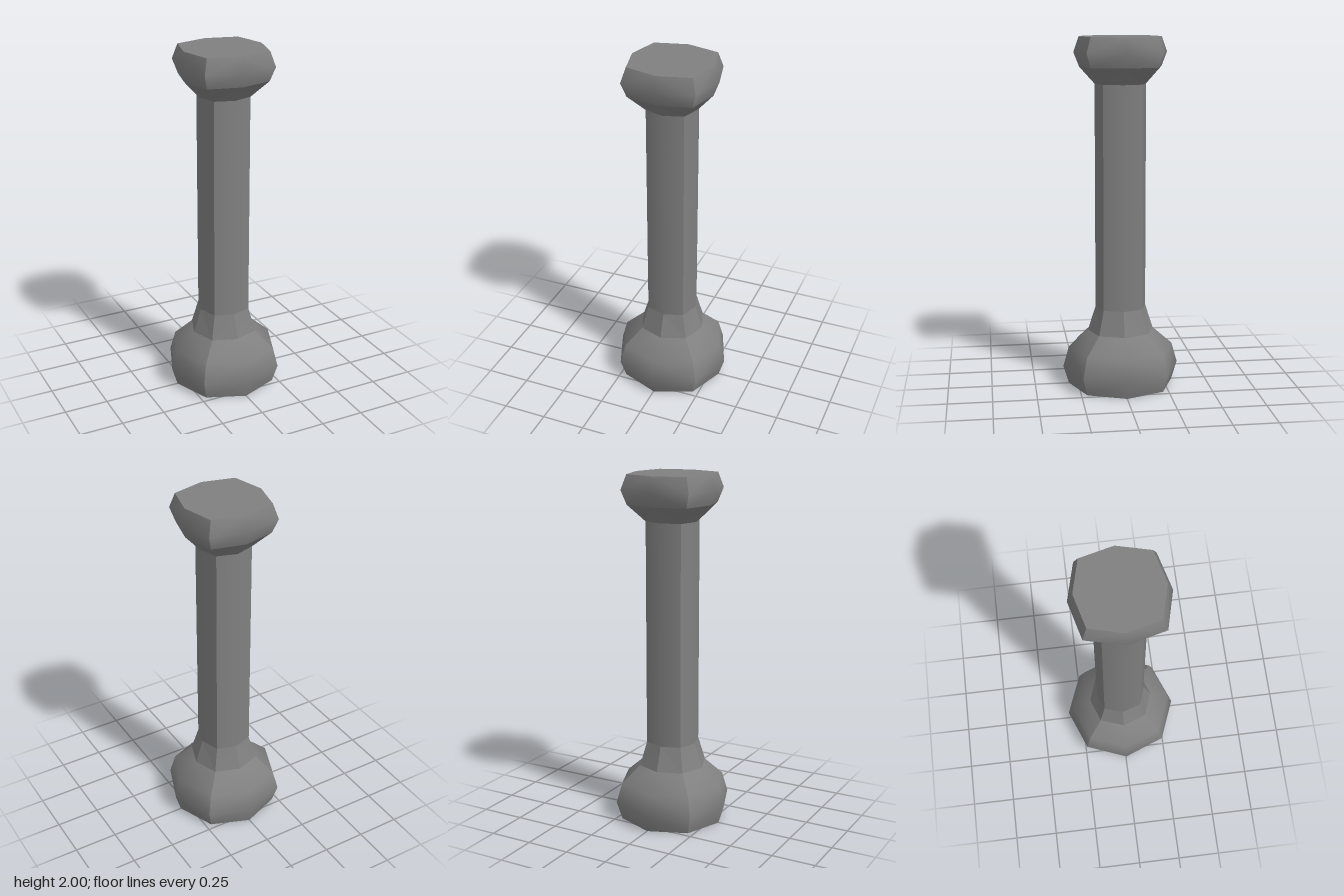
import * as THREE from 'three';

// Eight-sided loft made of four panels, each smooth across its middle and creased at its diagonal corners.
// Each ring is [height, reach on the axes, x and z of the diagonal corners].
function loft(rings) {
  const positions = [];
  const index = [];
  for (let panel = 0; panel < 4; panel++) {
    const start = positions.length / 3;
    for (const [y, axis, diagonal] of rings) {
      for (const side of [-1, 0, 1]) {
        const angle = panel * Math.PI / 2 + side * Math.PI / 4;
        const r = side ? diagonal * Math.SQRT2 : axis;
        positions.push(r * Math.sin(angle), y, r * Math.cos(angle));
      }
    }
    for (let i = 0; i < rings.length - 1; i++) {
      const a = start + i * 3; // left, middle and right of this ring, then of the next one
      index.push(a, a + 1, a + 4, a, a + 4, a + 3);
      index.push(a + 1, a + 2, a + 4, a + 2, a + 5, a + 4);
    }
  }
  const geometry = new THREE.BufferGeometry();
  geometry.setAttribute('position', new THREE.Float32BufferAttribute(positions, 3));
  geometry.setIndex(index);
  geometry.computeVertexNormals();
  return geometry;
}

// Flat eight-sided end face, facing up
function endFace(axis, diagonal) {
  const points = [];
  for (let k = 0; k < 8; k++) {
    const angle = k * Math.PI / 4;
    const r = k % 2 ? diagonal * Math.SQRT2 : axis;
    points.push(new THREE.Vector2(r * Math.cos(angle), r * Math.sin(angle)));
  }
  return new THREE.ShapeGeometry(new THREE.Shape(points)).rotateX(-Math.PI / 2);
}

export function createModel() {
  const group = new THREE.Group();
  group.name = 'column';
  const smooth = new THREE.MeshStandardMaterial({ color: 0x808080 });
  const faceted = new THREE.MeshStandardMaterial({ color: 0x808080, flatShading: true });

  const add = (name, geometry, material) => {
    const mesh = new THREE.Mesh(geometry, material);
    mesh.name = name;
    group.add(mesh);
  };

  // Bulging foot with its sloping shoulder
  add('base', loft([
    [0, 0.303, 0.217],
    [0.105, 0.335, 0.241],
    [0.22, 0.303, 0.217],
    [0.32, 0.19, 0.14],
  ]), smooth);
  add('underside', endFace(0.303, 0.217).rotateX(Math.PI), smooth);

  // Taper from the shoulder to the shaft
  add('lowerCollar', loft([[0.32, 0.19, 0.14], [0.46, 0.145, 0.11]]), faceted);

  // Long straight shaft
  add('shaft', loft([[0.46, 0.145, 0.11], [1.74, 0.145, 0.11]]), smooth);

  // Flare under the head
  add('upperCollar', loft([[1.74, 0.145, 0.11], [1.835, 0.231, 0.185]]), faceted);

  // Bulging head with a flat top
  add('head', loft([
    [1.835, 0.231, 0.185],
    [1.915, 0.262, 0.209],
    [2, 0.232, 0.185],
  ]), smooth);
  add('topFace', endFace(0.232, 0.185).translate(0, 2, 0), smooth);

  return group;
}
